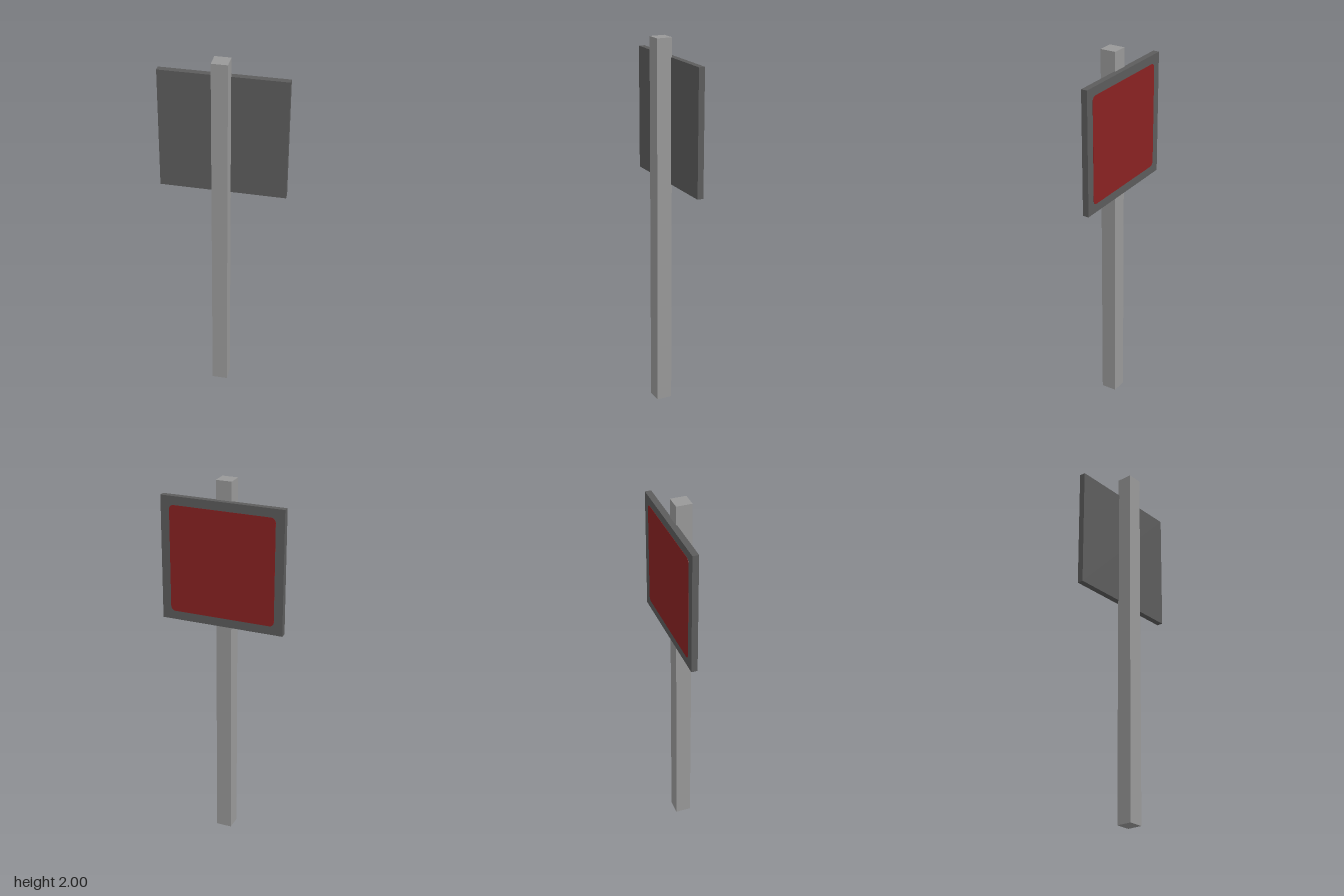
import * as THREE from 'three';

const mat = (name, color) => {
  const m = new THREE.MeshStandardMaterial({ color });
  m.name = name;
  return m;
};

// Square outline with small rounded corners
function roundedSquare(half, r) {
  const s = new THREE.Shape();
  const c = half - r;
  s.absarc(c, c, r, 0, Math.PI / 2);
  s.absarc(-c, c, r, Math.PI / 2, Math.PI);
  s.absarc(-c, -c, r, Math.PI, Math.PI * 1.5);
  s.absarc(c, -c, r, Math.PI * 1.5, Math.PI * 2);
  s.closePath();
  return s;
}

export function createModel() {
  const group = new THREE.Group();
  group.name = 'signpost';

  const add = (name, geometry, material, x, y, z) => {
    const mesh = new THREE.Mesh(geometry, material);
    mesh.name = name;
    mesh.position.set(x, y, z);
    group.add(mesh);
    return mesh;
  };

  // Square post, slightly let into the board
  add('post', new THREE.BoxGeometry(0.084, 2, 0.084), mat('post grey', 0x999999), 0, 1, 0.014);

  // Board on the back of the post
  add('board', new THREE.BoxGeometry(0.666, 0.664, 0.033), mat('board dark grey', 0x5c5c5c), 0, 1.568, -0.0395);

  // Thin painted face, pointing to -z
  const faceGeometry = new THREE.ExtrudeGeometry(roundedSquare(0.286, 0.025), {
    depth: 0.002, bevelEnabled: false, curveSegments: 4,
  });
  const face = add('signFace', faceGeometry, mat('sign red', 0x8a2222), 0, 1.568, -0.055);
  face.rotation.y = Math.PI;

  return group;
}
